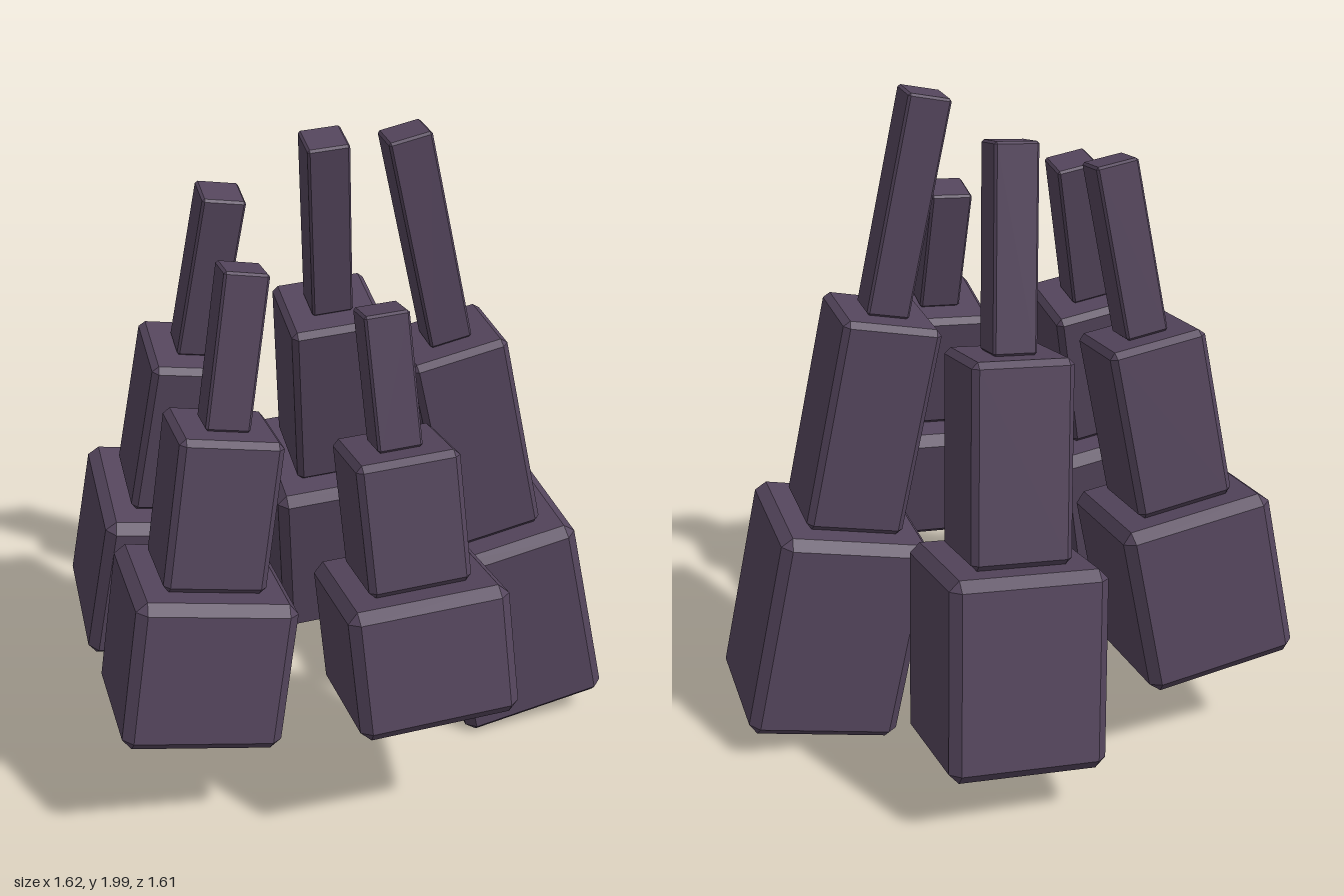
import * as THREE from 'three';
import { ConvexGeometry } from 'three/addons/geometries/ConvexGeometry.js';

const stone = new THREE.MeshStandardMaterial({ color: 0x54455c });
stone.name = 'dusky purple stone';

// Square block with every edge cut by a flat chamfer, standing on y = 0
function chamferedBlock(width, height, cut) {
  const a = width / 2, b = height / 2, points = [];
  for (const sx of [-1, 1]) for (const sy of [-1, 1]) for (const sz of [-1, 1]) {
    points.push(
      new THREE.Vector3(sx * a, sy * (b - cut), sz * (a - cut)),
      new THREE.Vector3(sx * (a - cut), sy * b, sz * (a - cut)),
      new THREE.Vector3(sx * (a - cut), sy * (b - cut), sz * a)
    );
  }
  return new ConvexGeometry(points).translate(0, b, 0);
}

// The three stacked tiers of each spire, from wide to narrow
const tiers = [
  { name: 'baseBlock', width: 0.47, cut: 0.03 },
  { name: 'middleBlock', width: 0.3, cut: 0.018 },
  { name: 'topBlock', width: 0.13, cut: 0.007 },
];

// Centre of the underside and centre of the tip of each leaning spire
const spires = [
  { name: 'leftSpire', base: [0.59, 0.046, 0.025], tip: [0.175, 1.985, 0.025] },
  { name: 'frontSpire', base: [0.085, 0.44, 0.582], tip: [0.015, 1.6, 0.36] },
  { name: 'backSpire', base: [0.122, 0.15, -0.575], tip: [0.005, 1.895, -0.235] },
  { name: 'frontRightSpire', base: [-0.575, 0.345, 0.37], tip: [-0.337, 1.697, 0.205] },
  { name: 'backRightSpire', base: [-0.58, 0.255, -0.35], tip: [-0.325, 1.79, -0.15] },
];

function createSpire({ name, base, tip }) {
  const spire = new THREE.Group();
  spire.name = name;
  const foot = new THREE.Vector3(...base);
  const axis = new THREE.Vector3(...tip).sub(foot);
  const step = axis.length() / tiers.length;

  tiers.forEach((tier, i) => {
    const block = new THREE.Mesh(chamferedBlock(tier.width, step, tier.cut), stone);
    block.name = tier.name;
    block.position.y = i * step;
    spire.add(block);
  });

  // Lean inwards along the axis
  spire.position.copy(foot);
  spire.quaternion.setFromUnitVectors(new THREE.Vector3(0, 1, 0), axis.normalize());
  return spire;
}

export function createModel() {
  const model = new THREE.Group();
  model.name = 'spireCluster';
  spires.forEach((s) => model.add(createSpire(s)));
  return model;
}
